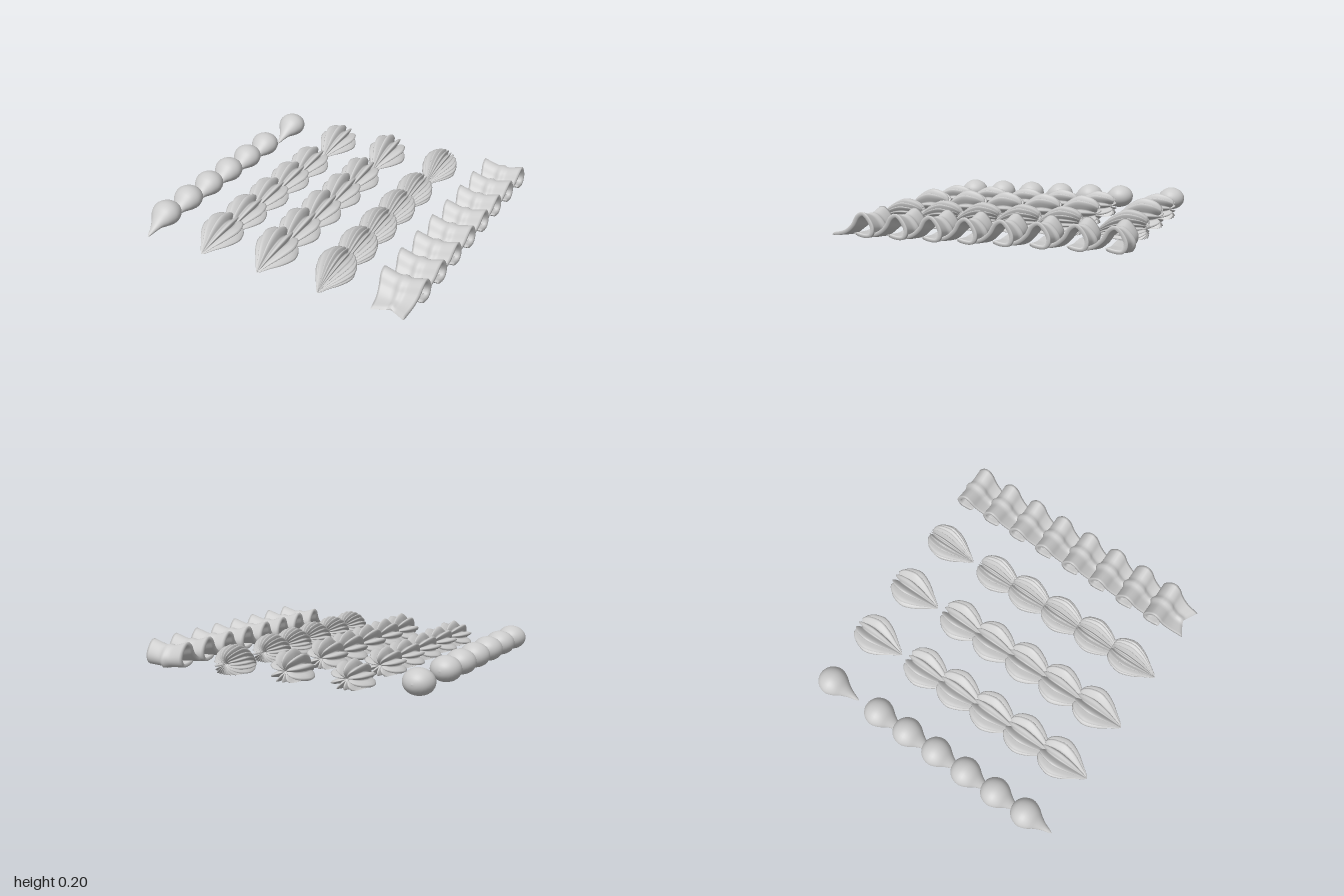
import * as THREE from 'three';

const material = new THREE.MeshStandardMaterial({ color: 0xcccccc, side: THREE.DoubleSide });

// Surface from rows of points; each row is a closed loop
function loopSurface(rows, cols, point) {
  const positions = [], index = [];
  for (let i = 0; i <= rows; i++) {
    for (let j = 0; j < cols; j++) positions.push(...point(i / rows, j));
  }
  for (let i = 0; i < rows; i++) {
    for (let j = 0; j < cols; j++) {
      const k = (j + 1) % cols;
      const a = i * cols + j, b = a + cols, c = i * cols + k, d = c + cols;
      index.push(a, b, c, b, d, c);
    }
  }
  const geo = new THREE.BufferGeometry();
  geo.setAttribute('position', new THREE.Float32BufferAttribute(positions, 3));
  geo.setIndex(index);
  geo.computeVertexNormals();
  return geo;
}

const curveOf = (pts) =>
  new THREE.CatmullRomCurve3(pts.map(([a, b, c = 0]) => new THREE.Vector3(a, b, c)), false, 'centripetal');

// Piped drop: profile of [z, radius, centre height], with optional ribs
function dropGeometry(profile, { lobes = 0, depth = 0, height = 1, cols = 32, rows = 24 }) {
  const curve = curveOf(profile);
  const samples = curve.getSpacedPoints(rows);
  const widest = samples.reduce((m, p) => (p.y > m.y ? p : m));
  return loopSurface(rows, cols, (t, j) => {
    const p = samples[Math.round(t * rows)];
    const angle = (j / cols) * Math.PI * 2;
    const wave = lobes ? Math.pow(0.5 + 0.5 * Math.cos(angle * lobes), 0.8) : 1;
    const rib = 1 - depth * (1 - wave);
    const r = Math.max(p.y, 0) * rib;
    // Ribs also bulge out at the rounded back, fading at the pole
    const fade = Math.min(1, Math.max(p.y, 0) / (widest.y * 0.4));
    const back = p.x < widest.x ? 1 - fade * (1 - rib) * 0.7 : 1;
    const z = widest.x + (p.x - widest.x) * back;
    const y = p.z + Math.cos(angle) * r * height;
    return [Math.sin(angle) * r, Math.max(y, 0.008), z];
  });
}

// Ridged shell that swells at the back and tapers to a low front tip
function shellGeometry(radius, options) {
  const profile = [
    [0.05, 0, 0.07], [0.012, 0.25, 0.07], [0, 0.45, 0.07], [0.03, 0.76, 0.065],
    [0.08, 0.94, 0.062], [0.135, 1, 0.06], [0.22, 0.77, 0.05], [0.3, 0.36, 0.032],
    [0.345, 0.13, 0.018], [0.36, 0, 0.012],
  ].map(([z, r, y]) => [z, r * radius, y]);
  return dropGeometry(profile, options);
}

// Ruffle: wide ribbon rolled at the back, with a raised centre bead and notched tip
function ruffleGeometry() {
  const rows = 40, across = 20, cols = across * 2;
  const path = curveOf([
    [0.13, 0.045], [0.08, 0.03], [0.03, 0.03], [0.01, 0.07], [0.03, 0.125],
    [0.075, 0.168], [0.11, 0.15], [0.15, 0.09], [0.21, 0.045], [0.31, 0.02],
  ]);
  return loopSurface(rows, cols, (t, j) => {
    const p = path.getPointAt(t), g = path.getTangentAt(t);
    const outer = j < across;
    const s = outer ? j : cols - 1 - j;
    const u = (s / (across - 1)) * 2 - 1;
    const thick = 0.011 * Math.min(1, Math.sqrt(Math.sin(Math.PI * t) * 8 + 1e-6));
    const bead = 0.018 * Math.exp(-Math.pow(u / 0.16, 2));
    const off = outer ? thick + bead : -thick;
    const front = THREE.MathUtils.smoothstep(t, 0.5, 1);
    const width = 0.14 - 0.033 * front;
    const lift = 0.75 + 0.25 * Math.abs(u);
    const notch = 0.06 * (1 - Math.abs(u)) * front * front;
    return [u * width, Math.max(p.y * lift + g.x * off, 0.004), p.x - g.y * off - notch];
  });
}

// Places copies of one geometry along z
function row(name, itemName, geometry, x, starts) {
  const group = new THREE.Group();
  group.name = name;
  starts.forEach((z, i) => {
    const mesh = new THREE.Mesh(geometry, material);
    mesh.name = `${itemName}${i + 1}`;
    mesh.position.set(x, 0, z);
    group.add(mesh);
  });
  return group;
}

const series = (start, step, count) => Array.from({ length: count }, (_, i) => start + i * step);

export function createModel() {
  const model = new THREE.Group();
  model.name = 'pipedBorders';

  // Smooth teardrop border
  const bead = dropGeometry([
    [0, 0, 0.09], [0.008, 0.04, 0.09], [0.04, 0.08, 0.09], [0.1, 0.1, 0.09],
    [0.155, 0.083, 0.084], [0.2, 0.05, 0.064], [0.25, 0.024, 0.036],
    [0.295, 0.009, 0.017], [0.31, 0, 0.012],
  ], { height: 0.83, cols: 32 });
  model.add(row('beadBorder', 'bead', bead, -0.905, [-0.937, ...series(-0.545, 0.239, 6)]));

  // Three ridged shell borders
  const shellStarts = [-0.945, ...series(-0.515, 0.277, 5)];
  const shells = [
    ['wideShellBorder', -0.47, 0.14, { lobes: 10, depth: 0.45, height: 0.84, cols: 80 }],
    ['tallShellBorder', -0.045, 0.14, { lobes: 10, depth: 0.48, height: 1, cols: 80 }],
    ['fineShellBorder', 0.39, 0.124, { lobes: 22, depth: 0.32, height: 1, cols: 132 }],
  ];
  for (const [name, x, radius, options] of shells) {
    model.add(row(name, 'shell', shellGeometry(radius, options), x, shellStarts));
  }

  // Overlapping ruffle border
  model.add(row('ruffleBorder', 'ruffle', ruffleGeometry(), 0.857, series(-0.957, 0.2286, 8)));

  return model;
}
